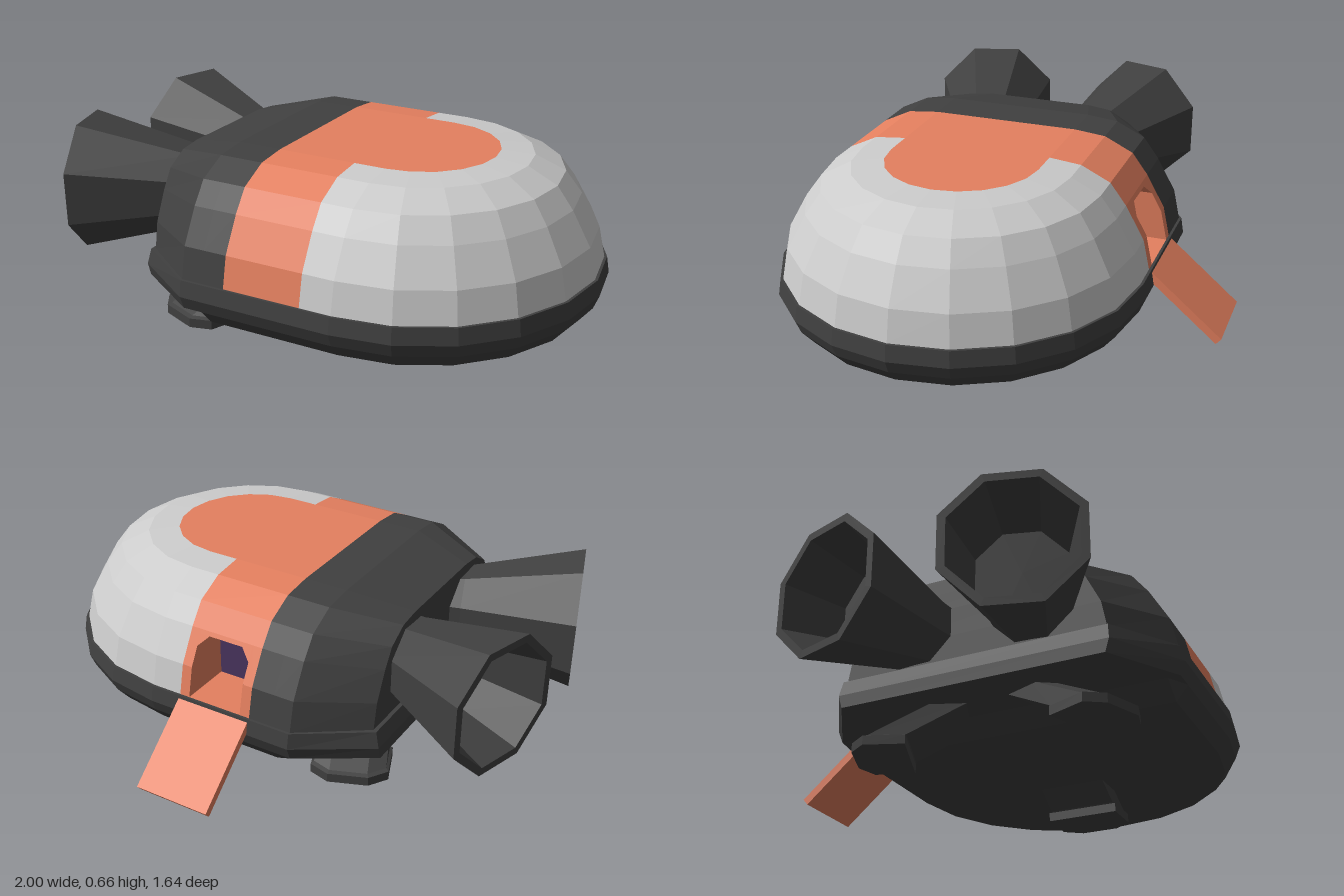
import * as THREE from 'three';

const CZ = 0.125; // hull centre line in z
const DARK = 0x404040, GREY = 0xcccccc, ORANGE = 0xe5805f, PURPLE = 0x4a3560;

function material(color, side = THREE.FrontSide) {
  return new THREE.MeshStandardMaterial({ color, side, flatShading: true });
}

// Mesh from a flat list of quads (four Vector3 corners each)
function quadMesh(name, quads, color, side) {
  const geo = new THREE.BufferGeometry();
  const pts = quads.flatMap(([a, b, c, d]) => [a, b, c, a, c, d]);
  geo.setFromPoints(pts);
  geo.computeVertexNormals();
  const mesh = new THREE.Mesh(geo, material(color, side));
  mesh.name = name;
  return mesh;
}

// Hull cross-section: [height, half width]
const LEVELS = [
  [0.1, 0.625], [0.155, 0.67], [0.205, 0.69], [0.265, 0.68],
  [0.265, 0.67], [0.38, 0.645], [0.505, 0.575], [0.585, 0.515], [0.638, 0.405], [0.65, 0.285],
];
const STATIONS = [-0.52, -0.28, -0.2, -0.11, 0.19];
const NOSE_STEPS = 10, NOSE_X = 0.31;
const N = STATIONS.length * 2 + NOSE_STEPS + 1;

// Point i of the hull outline at level l, running from rear +z round the nose to rear -z
function hullPoint(l, i) {
  let [y, r] = LEVELS[l];
  const k = Math.min(i, N - 1 - i), sign = i < N / 2 ? 1 : -1;
  if (k >= STATIONS.length) {
    const a = Math.PI / 2 - ((i - STATIONS.length) / NOSE_STEPS) * Math.PI;
    return new THREE.Vector3(NOSE_X + r * Math.cos(a), y, CZ + r * Math.sin(a));
  }
  let x = STATIONS[k];
  if (k < 2) y = Math.max(y, 0.155); // underside rises at the tail
  if (k === 0) {
    r *= 0.75;
    if (l < 4) x = l < 3 ? -0.55 : -0.535;
    if (y > 0.265) y = 0.265 + (y - 0.265) * 0.87;
  }
  return new THREE.Vector3(x, y, CZ + sign * r);
}

function buildHull() {
  const P = hullPoint, top = LEVELS.length - 1;
  const band = [], tail = [], stripe = [], nose = [];
  for (let l = 0; l < top; l++) {
    for (let i = 0; i < N - 1; i++) {
      const s = Math.min(i, N - 2 - i);
      if (s === 3 && i > N / 2 && (l === 4 || l === 5)) continue; // doorway panels
      const list = l < 4 ? band : s < 3 ? tail : s === 3 ? stripe : nose;
      list.push([P(l, i), P(l, i + 1), P(l + 1, i + 1), P(l + 1, i)]);
    }
    tail.push([P(l, N - 1), P(l, 0), P(l + 1, 0), P(l + 1, N - 1)]);
  }
  // roof and underside
  for (let i = 0; i < (N - 1) / 2; i++) {
    const j = N - 1 - i;
    (i < 3 ? tail : stripe).push([P(top, i), P(top, i + 1), P(top, j - 1), P(top, j)]);
    band.push([P(0, j), P(0, j - 1), P(0, i + 1), P(0, i)]);
  }
  const hull = new THREE.Group();
  hull.name = 'hull';
  hull.add(
    quadMesh('lowerBand', band, DARK), quadMesh('tailShell', tail, DARK),
    quadMesh('stripeAndRoof', stripe, ORANGE), quadMesh('noseShell', nose, GREY));
  return hull;
}

// Doorway in the stripe on the -z side, with a recess behind it
function buildDoorway() {
  const group = new THREE.Group();
  group.name = 'doorway';
  const wall = (x, y) => {
    const l = y <= 0.38 ? 4 : 5, [y0, r0] = LEVELS[l], [y1, r1] = LEVELS[l + 1];
    return new THREE.Vector3(x, y, CZ - THREE.MathUtils.lerp(r0, r1, (y - y0) / (y1 - y0)));
  };
  const rect = (x0, x1, y0, y1) => [wall(x0, y0), wall(x0, y1), wall(x1, y1), wall(x1, y0)];
  const surround = [
    rect(-0.11, -0.07, 0.265, 0.38), rect(0.15, 0.19, 0.265, 0.38),
    rect(-0.11, -0.07, 0.3801, 0.505), rect(0.15, 0.19, 0.3801, 0.505),
    rect(-0.07, 0.15, 0.49, 0.505),
  ];
  for (const [edge, inner] of [[-0.07, -0.03], [0.15, 0.11]]) {
    surround.push([wall(edge, 0.45), wall(edge, 0.49), wall(inner, 0.49), wall(inner, 0.49)]);
  }
  group.add(quadMesh('doorSurround', surround, ORANGE, THREE.DoubleSide));

  const outline = [[-0.07, 0.265], [-0.07, 0.38], [-0.07, 0.45], [-0.03, 0.49],
    [0.11, 0.49], [0.15, 0.45], [0.15, 0.38], [0.15, 0.265]];
  const deep = ([x, y]) => new THREE.Vector3(x, y, -0.34);
  const lining = outline.map((p, i) => {
    const q = outline[(i + 1) % outline.length];
    return [wall(...p), wall(...q), deep(q), deep(p)];
  });
  group.add(quadMesh('doorLining', lining, ORANGE, THREE.DoubleSide));
  const back = [0, 1, 2].map((i) =>
    [outline[i], outline[i + 1], outline[6 - i], outline[7 - i]].map(deep));
  group.add(quadMesh('innerWall', back, PURPLE, THREE.DoubleSide));
  return group;
}

// Ramp lowered from the doorway to the ground
function buildRamp() {
  const ramp = new THREE.Mesh(new THREE.BoxGeometry(0.3, 0.03, 0.36), material(ORANGE));
  ramp.name = 'ramp';
  ramp.position.set(0.04, 0.131, -0.679);
  ramp.rotation.x = -0.7;
  return ramp;
}

// Flared eight-sided engine bell, open at the back
function buildEngine(side) {
  const profile = [[0.145, -0.06], [0.152, 0], [0.263, 0.428], [0.232, 0.428], [0.17, 0.2], [0, 0.2]]
    .map(([r, y]) => new THREE.Vector2(r, y));
  const bell = new THREE.Mesh(new THREE.LatheGeometry(profile, 8, Math.PI / 8), material(DARK));
  bell.rotation.z = Math.PI / 2;
  const engine = new THREE.Group();
  engine.name = side > 0 ? 'frontEngine' : 'backEngine';
  engine.add(bell);
  engine.position.set(-0.52, 0.42, CZ + side * 0.225);
  engine.rotation.y = side * 0.294;
  return engine;
}

// Landing foot: chamfered pad and a strut leaning in under the hull
function buildFoot(name, x, z, angle, height, lean) {
  const shape = [[0.1, 0.075], [0.1, -0.075], [0.05, -0.143], [-0.1, -0.143], [-0.1, 0.143], [0.05, 0.143]];
  const rings = [[0, 0, 1], [0.035, 0, 1], [0.04, -0.01, 0.93], [height, -lean, 0.9]].map(
    ([y, shift, k]) => shape.map(([a, b]) => new THREE.Vector3(a * k + shift, y, b * k)));
  const quads = [];
  for (let l = 0; l < rings.length - 1; l++) {
    for (let i = 0; i < 6; i++) {
      const j = (i + 1) % 6;
      quads.push([rings[l][i], rings[l][j], rings[l + 1][j], rings[l + 1][i]]);
    }
  }
  const cap = (r) => [[r[0], r[1], r[2], r[5]], [r[5], r[2], r[3], r[4]]];
  quads.push(...cap(rings[0].slice()).map((q) => q.reverse()), ...cap(rings[3]));
  const foot = quadMesh(name, quads, DARK, THREE.DoubleSide);
  foot.position.set(x, 0, z);
  foot.rotation.y = angle;
  return foot;
}

export function createModel() {
  const model = new THREE.Group();
  model.name = 'shuttle';
  model.add(buildHull(), buildDoorway(), buildRamp());
  for (const side of [1, -1]) {
    model.add(buildEngine(side));
    model.add(buildFoot(side > 0 ? 'frontTailFoot' : 'backTailFoot',
      -0.39, CZ + side * 0.42, -side * 1.95, 0.17, 0.25));
  }
  model.add(buildFoot('noseFoot', 0.577, CZ, 0, 0.13, 0.16));
  return model;
}
